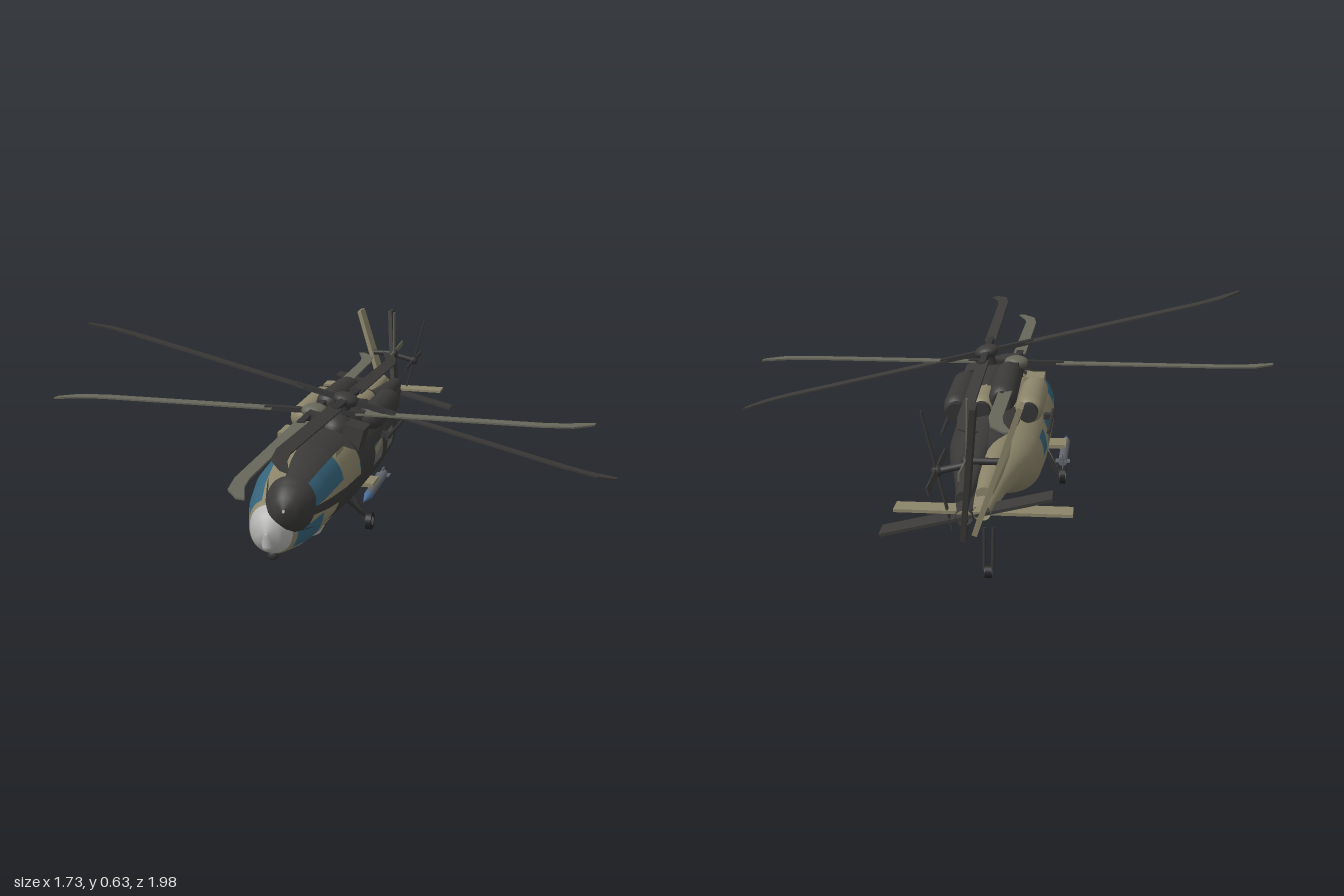
import * as THREE from 'three';

const material = (name, color) => {
  const m = new THREE.MeshStandardMaterial({ color, side: THREE.DoubleSide });
  m.name = name;
  return m;
};

// Hull stations: z, half width, bottom y, top y
const STATIONS = [
  [0.66, 0.004, 0.165, 0.175], [0.652, 0.03, 0.137, 0.203], [0.63, 0.05, 0.112, 0.225],
  [0.6, 0.067, 0.095, 0.245], [0.52, 0.093, 0.08, 0.278], [0.42, 0.111, 0.072, 0.3],
  [0.25, 0.12, 0.07, 0.307], [-0.1, 0.12, 0.07, 0.305], [-0.28, 0.115, 0.092, 0.3],
  [-0.4, 0.095, 0.135, 0.29], [-0.5, 0.07, 0.175, 0.28], [-0.65, 0.045, 0.2, 0.27],
  [-0.85, 0.022, 0.215, 0.255],
];

function section(z) {
  let i = 0;
  while (i < STATIONS.length - 2 && STATIONS[i + 1][0] > z) i++;
  const a = STATIONS[i], b = STATIONS[i + 1];
  const t = (a[0] - z) / (a[0] - b[0]);
  return [1, 2, 3].map(k => a[k] + (b[k] - a[k]) * t);
}

// Which panel a point of the hull belongs to: 0 skin, 1 glass, 2 nose
function panel(z, deg) {
  const a = Math.abs(deg) > 90 ? Math.sign(deg) * (180 - Math.abs(deg)) : deg;
  if (z < 0.59 && z > 0.27 && a > 10 && a < 65) return 1;
  if (z < 0.59 && z > 0.45 && a > -45 && a < -5) return 1;
  if (z < 0.07 && z > -0.05 && a > 0 && a < 30) return 1;
  if (z < -0.13 && z > -0.23 && a > 0 && a < 30) return 1;
  return z > 0.605 ? 2 : 0;
}

function hullGeometry(withGlass) {
  const rows = 151, cols = 72, pos = [], lists = [[], [], []];
  const zAt = i => 0.66 - i * 0.01;
  const round = v => Math.sign(v) * Math.abs(v) ** 0.9;
  for (let i = 0; i <= rows; i++) {
    const [w, yb, yt] = section(zAt(i));
    for (let j = 0; j < cols; j++) {
      const a = (j / cols) * Math.PI * 2;
      pos.push(w * round(Math.cos(a)), (yb + yt) / 2 + ((yt - yb) / 2) * round(Math.sin(a)), zAt(i));
    }
  }
  for (let i = 0; i < rows; i++) {
    for (let j = 0; j < cols; j++) {
      const deg = (j + 0.5) * 5;
      const A = i * cols + j, B = i * cols + (j + 1) % cols, C = A + cols, D = B + cols;
      lists[panel(zAt(i + 0.5), deg > 180 ? deg - 360 : deg)].push(A, C, B, B, C, D);
    }
  }
  const g = new THREE.BufferGeometry();
  g.setAttribute('position', new THREE.Float32BufferAttribute(pos, 3));
  g.setIndex(lists.flat());
  g.computeVertexNormals();
  // An unglazed hull keeps its window openings
  if (!withGlass) lists[1] = [];
  g.setIndex(lists.flat());
  let start = 0;
  lists.forEach((l, k) => { g.addGroup(start, l.length, k); start += l.length; });
  return g;
}

function helicopter(name, mats, equipped) {
  const { skin, nose, glass, blade, metal, rubber, pale, pod, tip } = mats;
  const root = new THREE.Group();
  root.name = name;
  const add = (part, geo, mat, x = 0, y = 0, z = 0, parent = root) => {
    const m = new THREE.Mesh(geo, mat);
    m.name = part;
    m.position.set(x, y, z);
    parent.add(m);
    return m;
  };
  const rod = (part, a, b, r, mat) => {
    const p = new THREE.Vector3(...a), q = new THREE.Vector3(...b), d = q.clone().sub(p);
    const m = add(part, new THREE.CylinderGeometry(r, r, d.length(), 10), mat, ...p.add(q).multiplyScalar(0.5));
    m.quaternion.setFromUnitVectors(new THREE.Vector3(0, 1, 0), d.normalize());
  };
  const plate = (pts, depth) => {
    const s = new THREE.Shape(pts.map(p => new THREE.Vector2(...p)));
    return new THREE.ExtrudeGeometry(s, { depth, bevelEnabled: false }).translate(0, 0, -depth / 2);
  };

  add('hull', hullGeometry(equipped), [skin, glass, nose]);

  // Roof housing, engines and tail spine
  add('gearboxHousing', new THREE.CapsuleGeometry(0.05, 0.3, 6, 20).rotateX(Math.PI / 2).scale(1, 0.9, 1), skin, 0, 0.3, 0.05);
  add('tailSpine', new THREE.CylinderGeometry(0.022, 0.05, 0.48, 20).rotateX(-Math.PI / 2).scale(1, 0.75, 1), skin, 0, 0.265, -0.55);
  for (const s of [-1, 1]) {
    add('engine', new THREE.CapsuleGeometry(0.042, 0.23, 6, 20).rotateX(Math.PI / 2), skin, s * 0.07, 0.33, -0.08);
    add('intake', new THREE.BoxGeometry(0.06, 0.065, 0.09), skin, s * 0.06, 0.305, 0.21);
    add('exhaust', new THREE.CylinderGeometry(0.028, 0.028, 0.04, 16).rotateX(Math.PI / 2), metal, s * 0.07, 0.33, -0.235);
    rod('sideRail', [s * 0.13, 0.27, 0.02], [s * 0.13, 0.27, -0.24], 0.006, metal);
    add('railMount', new THREE.BoxGeometry(0.03, 0.015, 0.03), metal, s * 0.118, 0.265, -0.04);
  }

  // Main rotor with swept blade tips
  const rotor = new THREE.Group();
  rotor.name = 'mainRotor';
  rotor.position.set(0, 0.388, 0.165);
  root.add(rotor);
  add('mast', new THREE.CylinderGeometry(0.018, 0.026, 0.09, 16), metal, 0, -0.04, 0, rotor);
  add('hub', new THREE.SphereGeometry(0.04, 20, 12).scale(1, 0.55, 1), blade, 0, 0, 0, rotor);
  const outline = [[-0.02, 0.13], [0.02, 0.13], [0.02, 0.68], [0.028, 0.74], [0.058, 0.83],
    [0.034, 0.825], [-0.005, 0.77], [-0.018, 0.68]];
  for (let k = 0; k < 4; k++) {
    const arm = new THREE.Group();
    arm.name = 'rotorArm';
    arm.rotation.y = k * Math.PI / 2;
    rotor.add(arm);
    add('rotorBlade', plate(outline, 0.005).rotateX(Math.PI / 2), blade, 0, 0, 0, arm);
    add('bladeCuff', new THREE.BoxGeometry(0.022, 0.014, 0.13), metal, 0, 0, 0.09, arm);
  }

  // Canted fin, stabiliser and tail rotor
  const fin = add('fin', plate([[0.77, -0.06], [0.85, -0.06], [0.885, 0.3], [0.82, 0.3]], 0.014).rotateY(Math.PI / 2), skin, 0, 0.23, 0);
  fin.rotation.z = 0.33;
  add('stabiliser', new THREE.BoxGeometry(0.45, 0.008, 0.06), skin, 0, 0.23, -0.81);
  rod('tailRotorShaft', [-0.05, 0.36, -0.82], [0.045, 0.36, -0.82], 0.009, metal);
  const tail = new THREE.Group();
  tail.name = 'tailRotor';
  tail.position.set(0.04, 0.36, -0.82);
  tail.rotation.x = 0.05;
  root.add(tail);
  add('tailHub', new THREE.SphereGeometry(0.015, 12, 8), metal, 0, 0, 0, tail);
  for (let k = 0; k < 4; k++) {
    const b = add('tailBlade', new THREE.BoxGeometry(0.004, 0.15, 0.02).translate(0, 0.082, 0), blade, 0, 0, 0, tail);
    b.rotation.x = k * Math.PI / 2;
  }

  if (!equipped) return root;

  // Belly radar and nose sensor
  add('radarDisc', new THREE.CylinderGeometry(0.066, 0.055, 0.022, 32), pale, 0, 0.064, 0.3);
  add('noseSensor', new THREE.SphereGeometry(0.016, 14, 10), metal, 0, 0.09, 0.595);
  add('noseLamp', new THREE.CapsuleGeometry(0.016, 0.03, 4, 12), pale, 0, 0.15, 0.645);

  // Landing gear and side pods
  const wheel = (x, z, r) => {
    add('tyre', new THREE.CylinderGeometry(r, r, 0.018, 24).rotateZ(Math.PI / 2), rubber, x, r, z);
    add('wheelHub', new THREE.CylinderGeometry(r * 0.5, r * 0.5, 0.021, 16).rotateZ(Math.PI / 2), pod, x, r, z);
  };
  for (const s of [-1, 1]) {
    wheel(s * 0.158, 0.1, 0.027);
    rod('gearStrut', [s * 0.09, 0.13, 0.1], [s * 0.146, 0.027, 0.1], 0.008, metal);
    rod('gearBrace', [s * 0.1, 0.11, 0.16], [s * 0.145, 0.04, 0.1], 0.005, metal);
    add('stubWing', new THREE.BoxGeometry(0.08, 0.012, 0.08), skin, s * 0.13, 0.145, 0.07);
    add('sidePod', new THREE.CylinderGeometry(0.014, 0.014, 0.22, 16).rotateX(Math.PI / 2), pod, s * 0.165, 0.128, 0.04);
    add('podNose', new THREE.ConeGeometry(0.014, 0.07, 16).rotateX(Math.PI / 2), tip, s * 0.165, 0.128, 0.185);
    add('podFins', new THREE.BoxGeometry(0.045, 0.004, 0.03), pod, s * 0.165, 0.128, -0.06);
    add('podFins', new THREE.BoxGeometry(0.004, 0.045, 0.03), pod, s * 0.165, 0.128, -0.06);
    rod('tailGearStrut', [s * 0.012, 0.135, -0.685], [s * 0.011, 0.02, -0.7], 0.005, metal);
  }
  wheel(0, -0.7, 0.018);
  return root;
}

export function createModel() {
  const dark = material('charcoal', 0x3b3a39);
  const tan = material('sand', 0x8b8469);
  const shared = {
    glass: material('blueGlass', 0x35637a), metal: material('gunmetal', 0x343434),
    rubber: material('rubber', 0x232323), pale: material('paleGrey', 0xb4b4b2),
    pod: material('slate', 0x62656b), tip: material('steelBlue', 0x4a6c98),
  };
  const model = new THREE.Group();
  model.name = 'helicopters';

  const lower = helicopter('sandHelicopter',
    { ...shared, skin: tan, nose: shared.pale, blade: material('oliveBlade', 0x67665a) }, true);
  lower.position.set(-0.02, 0, 0);

  // Second airframe, rolled and pitched over the first
  const upper = helicopter('charcoalHelicopter', { ...shared, skin: dark, nose: dark, blade: dark }, false);
  upper.rotation.set(-0.057, 0, -0.242, 'ZYX');
  upper.position.set(-0.02, 0.04, 0.01);

  model.add(lower, upper);
  return model;
}
